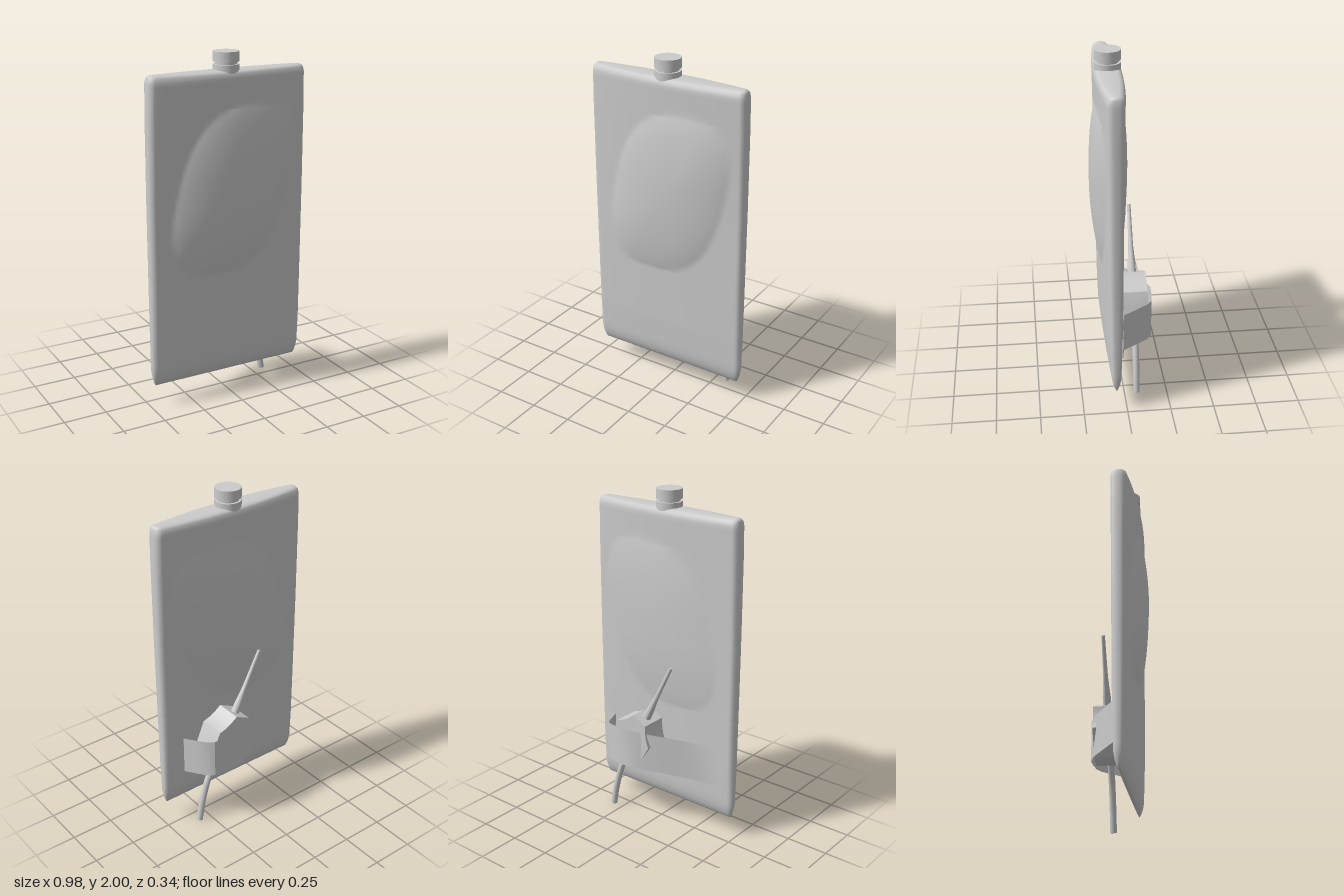
import * as THREE from 'three';
import { mergeVertices, toCreasedNormals } from 'three/addons/utils/BufferGeometryUtils.js';

const grey = new THREE.MeshStandardMaterial({ color: 0xcccccc });
const greyThin = new THREE.MeshStandardMaterial({ color: 0xcccccc, side: THREE.DoubleSide });
const MID_Z = 0.06;

function add(group, name, geometry, material = grey) {
  const mesh = new THREE.Mesh(geometry, material);
  mesh.name = name;
  group.add(mesh);
  return mesh;
}

// Linear lookup in a list of [key, value...] rows with rising keys
function lookup(rows, key, col) {
  let i = 1;
  while (i < rows.length - 1 && rows[i][0] < key) i++;
  const a = rows[i - 1], b = rows[i];
  return THREE.MathUtils.lerp(a[col], b[col], THREE.MathUtils.clamp((key - a[0]) / (b[0] - a[0]), 0, 1));
}

// Height, half width, half thickness at the middle, half thickness at the side
const BAG = [
  [0.125, 0.465, 0, 0], [0.14, 0.472, 0.012, 0.01], [0.17, 0.48, 0.024, 0.02], [0.21, 0.486, 0.032, 0.026],
  [0.4, 0.488, 0.042, 0.032], [0.75, 0.488, 0.05, 0.036], [1.2, 0.489, 0.06, 0.038], [1.7, 0.486, 0.073, 0.042],
  [1.86, 0.482, 0.077, 0.043], [1.885, 0.478, 0.073, 0.038], [1.895, 0.472, 0.062, 0.028], [1.9, 0.465, 0.045, 0.016],
  [1.901, 0.455, 0, 0],
];

// Slanted rounded swelling, 1 in its middle and 0 outside
function swelling(x, y) {
  const u = Math.abs((x - 0.02 - (y - 1.23) * 0.24) / 0.35), v = Math.abs((y - 1.23) / 0.48);
  const r = Math.pow(u ** 2.7 + v ** 2.7, 1 / 2.7);
  return r < 1 ? Math.pow(1 - r * r, 0.85) : 0;
}

// Pouch: closed rings stacked up the height
function bagGeometry() {
  const half = [];
  const side = [[1, 0.35], [0.99, 0.72], [0.965, 0.97]];
  side.forEach(([u, k]) => half.push([-u, k]));
  for (let i = 0; i <= 44; i++) half.push([-0.94 + (1.88 * i) / 44, 1]);
  side.reverse().forEach(([u, k]) => half.push([u, k]));
  const ring = [...half.map(p => [...p, 1]), ...half.map(p => [-p[0], p[1], -1])];

  const heights = BAG.map(r => r[0]);
  for (let y = 0.25; y < 1.85; y += 0.03) heights.push(y);
  heights.sort((a, b) => a - b);

  const pos = [], index = [], n = ring.length;
  heights.forEach((y, j) => {
    const w = lookup(BAG, y, 1), mid = lookup(BAG, y, 2), edge = lookup(BAG, y, 3);
    ring.forEach(([u, k, s], i) => {
      const x = u * w;
      const t = (edge + (mid - edge) * (1 - u * u)) * k + swelling(x, y) * (s > 0 ? 0.046 : 0.03);
      pos.push(x, y, MID_Z + s * t);
      if (j === 0) return;
      const a = (j - 1) * n + i, b = (j - 1) * n + (i + 1) % n;
      index.push(a, b, b + n, a, b + n, a + n);
    });
  });
  const g = new THREE.BufferGeometry();
  g.setAttribute('position', new THREE.Float32BufferAttribute(pos, 3));
  g.setIndex(index);
  const merged = mergeVertices(g);
  merged.computeVertexNormals();
  return merged;
}

const lathe = (pts, seg) => toCreasedNormals(
  new THREE.LatheGeometry(pts.map(p => new THREE.Vector2(...p)), seg), 0.6);

// Adhesive strip: x, z and lower edge along its length
function stripGeometry() {
  const path = [
    [-0.39, 0.022, 0.32], [-0.29, 0.01, 0.325], [-0.15, -0.057, 0.34], [0, -0.13, 0.355], [0.06, -0.153, 0.36],
    [0.12, -0.172, 0.36], [0.2, -0.169, 0.36], [0.265, -0.16, 0.36], [0.295, -0.135, 0.355],
    [0.33, -0.065, 0.345], [0.365, 0.008, 0.335], [0.45, 0.022, 0.335],
  ];
  const g = new THREE.PlaneGeometry(1, 1, path.length - 1, 1);
  const p = g.attributes.position;
  for (let i = 0; i < p.count; i++) {
    const [x, z, y] = path[i % path.length];
    p.setXYZ(i, x, y + (i < path.length ? 0.235 : 0), z);
  }
  return toCreasedNormals(g, 0.5);
}

export function createModel() {
  const model = new THREE.Group();
  model.name = 'pouchWithDevice';
  add(model, 'pouch', bagGeometry());

  // Neck ring, groove and screw cap
  const cap = add(model, 'cap', lathe([
    [0, 1.88], [0.073, 1.88], [0.073, 1.93], [0.06, 1.93], [0.06, 1.945], [0.073, 1.945], [0.073, 2], [0, 2],
  ], 40));
  cap.position.set(-0.005, 0, MID_Z);

  // Device on the back, leaning towards the right
  const device = new THREE.Group();
  device.name = 'device';
  device.position.set(0.127, 0.515, 0);
  device.rotation.z = 0.464;
  model.add(device);

  const outline = new THREE.Shape();
  outline.moveTo(0.05, 0.17);
  outline.lineTo(-0.05, 0.17);
  outline.quadraticCurveTo(-0.08, 0.1, -0.13, 0.06);
  outline.lineTo(-0.12, -0.1);
  outline.quadraticCurveTo(-0.09, -0.17, 0, -0.17);
  outline.quadraticCurveTo(0.09, -0.17, 0.12, -0.1);
  outline.lineTo(0.13, 0.06);
  outline.quadraticCurveTo(0.08, 0.1, 0.05, 0.17);
  const housing = add(device, 'housing', toCreasedNormals(
    new THREE.ExtrudeGeometry(outline, { depth: 0.157, bevelEnabled: false, curveSegments: 10 }), 0.6));
  housing.position.z = -0.145;

  const nozzle = add(device, 'nozzle', lathe([
    [0, 0.13], [0.025, 0.13], [0.023, 0.22], [0.019, 0.26], [0.014, 0.33], [0.01, 0.565], [0, 0.565],
  ], 20));
  nozzle.position.z = -0.072;

  // Flexible tube below the device
  const bend = new THREE.CatmullRomCurve3(
    [[0.19, 0.4], [0.255, 0.27], [0.297, 0.13], [0.321, 0.004]].map(([x, y]) => new THREE.Vector3(x, y, -0.072)));
  add(model, 'tube', new THREE.TubeGeometry(bend, 24, 0.019, 16));
  const tubeEnd = add(model, 'tubeEnd', new THREE.CircleGeometry(0.019, 16), greyThin);
  tubeEnd.position.copy(bend.getPoint(1));
  tubeEnd.lookAt(bend.getPoint(1).add(bend.getTangent(1)));

  add(model, 'adhesiveStrip', stripGeometry(), greyThin);
  return model;
}
